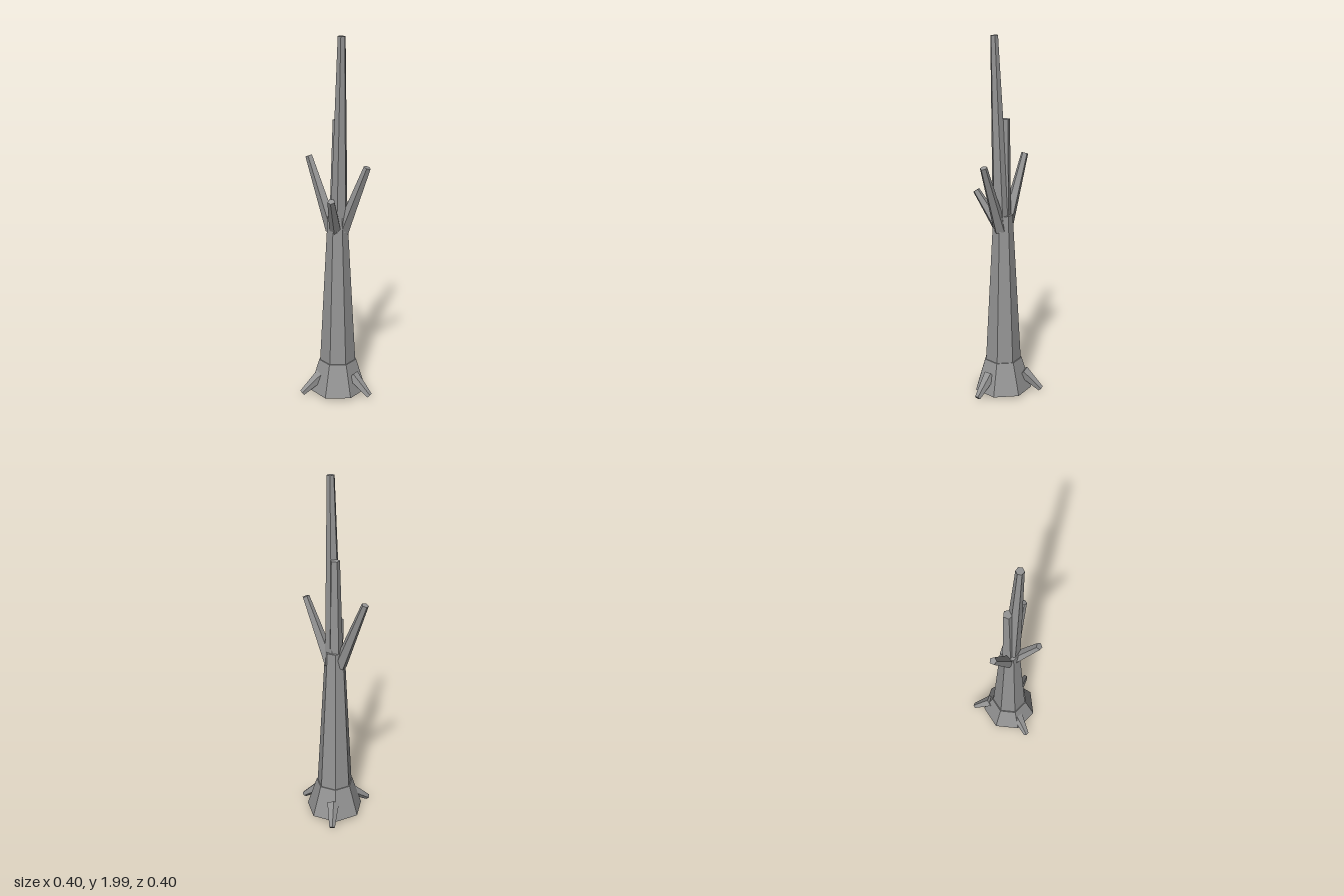
import * as THREE from 'three';

const V = (p) => new THREE.Vector3(...p);

export function createModel() {
  const tree = new THREE.Group();
  tree.name = 'bareTree';
  const bark = new THREE.MeshStandardMaterial({ color: 0x959595, flatShading: true });
  bark.name = 'greyBark';

  // Seven-sided turned part about the trunk axis, profile given as [radius, y]
  function turned(name, profile) {
    const pts = profile.map(([r, y]) => new THREE.Vector2(r, y));
    const mesh = new THREE.Mesh(new THREE.LatheGeometry(pts, 7, Math.PI / 2), bark);
    mesh.name = name;
    mesh.position.set(-0.01, 0, 0.03);
    tree.add(mesh);
  }

  // Tapered limb running from one point to another
  function limb(name, from, to, r0, r1, sides = 5) {
    const a = V(from), dir = V(to).sub(a);
    const geo = new THREE.CylinderGeometry(r1, r0, dir.length(), sides);
    geo.translate(0, dir.length() / 2, 0);
    const mesh = new THREE.Mesh(geo, bark);
    mesh.name = name;
    mesh.position.copy(a);
    mesh.quaternion.setFromUnitVectors(new THREE.Vector3(0, 1, 0), dir.normalize());
    tree.add(mesh);
  }

  // Flared foot with a hollow underside, and the tall trunk
  turned('flaredFoot', [[0, 0.12], [0.08, 0.12], [0.105, 0.02], [0.163, 0.02], [0.107, 0.2], [0, 0.2]]);
  turned('trunk', [[0.102, 0.19], [0.055, 1.04], [0, 1.04]]);

  // Upright leaders
  limb('mainLeader', [-0.002, 0.96, 0.035], [0.02, 2, 0.065], 0.05, 0.021, 6);
  limb('secondLeader', [-0.015, 0.96, 0.025], [-0.012, 1.565, 0.016], 0.042, 0.026);

  // Side branches
  limb('rightBranch', [-0.04, 0.96, 0.02], [-0.183, 1.352, -0.04], 0.038, 0.02);
  limb('leftBranch', [0.018, 0.96, 0.035], [0.16, 1.33, 0.078], 0.038, 0.02);
  limb('frontBranch', [-0.015, 0.965, 0.055], [-0.01, 1.165, 0.183], 0.034, 0.02);

  // Roots poking out of the foot
  limb('leftRoot', [0.085, 0.12, 0.075], [0.19, 0.022, 0.112], 0.036, 0.017);
  limb('rightRoot', [-0.09, 0.115, 0.085], [-0.187, 0.022, 0.157], 0.036, 0.017);
  limb('backRoot', [-0.022, 0.12, -0.085], [-0.036, 0.022, -0.188], 0.036, 0.017);

  return tree;
}
